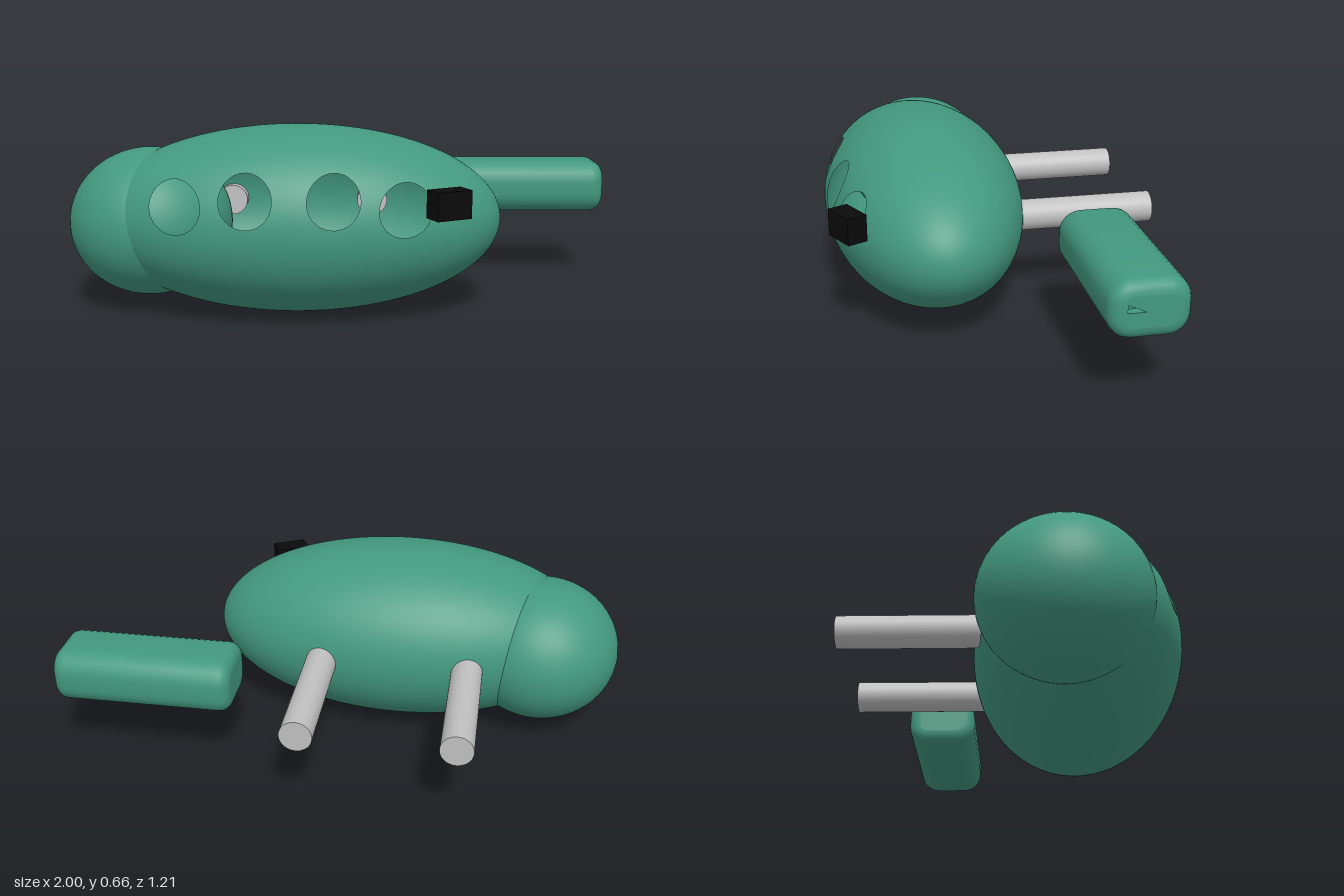
import * as THREE from 'three';
import { toCreasedNormals } from 'three/addons/utils/BufferGeometryUtils.js';

const green = new THREE.MeshStandardMaterial({ color: 0x43997f, side: THREE.DoubleSide });
green.name = 'green shell';
const grey = new THREE.MeshStandardMaterial({ color: 0xc0c0c0 });
grey.name = 'grey rod';
const black = new THREE.MeshStandardMaterial({ color: 0x0a0a0a });
black.name = 'black';

function add(group, name, geometry, material, x, y, z) {
  const mesh = new THREE.Mesh(geometry, material);
  mesh.name = name;
  mesh.position.set(x, y, z);
  group.add(mesh);
  return mesh;
}

// Hollow ellipsoid with round openings cut through its front wall
function shellGeometry(rx, ry, rz, holes) {
  const geo = new THREE.SphereGeometry(1, 192, 112);
  geo.scale(rx, ry, rz);
  const pos = geo.attributes.position;
  const holeOf = (i) => (pos.getZ(i) <= 0 ? undefined
    : holes.find((h) => Math.hypot(pos.getX(i) - h.x, pos.getY(i) - h.y) < h.r));
  const inside = Array.from({ length: pos.count }, (_, i) => holeOf(i));
  const kept = [];
  const old = geo.index.array;
  for (let i = 0; i < old.length; i += 3) {
    const tri = [old[i], old[i + 1], old[i + 2]];
    if (!tri.every((v) => inside[v])) kept.push(...tri);
  }
  // Push rim vertices out onto the exact circle of their opening
  inside.forEach((h, i) => {
    if (!h) return;
    const a = Math.atan2(pos.getY(i) - h.y, pos.getX(i) - h.x);
    const x = h.x + h.r * Math.cos(a), y = h.y + h.r * Math.sin(a);
    pos.setXYZ(i, x, y, rz * Math.sqrt(1 - (x / rx) ** 2 - (y / ry) ** 2));
  });
  geo.setIndex(kept);
  // Exact ellipsoid normals
  const n = new THREE.Vector3();
  for (let i = 0; i < pos.count; i++) {
    n.set(pos.getX(i) / rx ** 2, pos.getY(i) / ry ** 2, pos.getZ(i) / rz ** 2).normalize();
    geo.attributes.normal.setXYZ(i, n.x, n.y, n.z);
  }
  return geo;
}

// Rounded rectangle in (z, y), counter-clockwise
function roundedPoints(hw, hh, r, steps = 6) {
  const pts = [];
  [[1, 1], [-1, 1], [-1, -1], [1, -1]].forEach(([sx, sy], q) => {
    for (let i = 0; i <= steps; i++) {
      const a = (q + i / steps) * Math.PI / 2;
      pts.push(new THREE.Vector2(sx * (hw - r) + r * Math.cos(a), sy * (hh - r) + r * Math.sin(a)));
    }
  });
  return pts;
}

// Pod: rounded bar along local z, lofted through inset rings
const POD = { half: 0.32, w: 0.132, h: 0.098, corner: 0.075, bevel: 0.045 };
function podSection(inset) {
  return roundedPoints(POD.w - inset, POD.h - inset, POD.corner - inset);
}
function podSides() {
  const rings = [];
  for (let i = 0; i <= 5; i++) {
    const a = (i / 5) * Math.PI / 2;
    rings.push([-POD.half + POD.bevel * (1 - Math.sin(a)), POD.bevel * (1 - Math.cos(a))]);
  }
  rings.reverse();
  const stations = [...rings.map(([z, inset]) => [z, inset]).reverse().map(([z, i]) => [z, i])];
  stations.sort((a, b) => a[0] - b[0]);
  const all = [...stations, ...stations.map(([z, i]) => [-z, i]).reverse()];
  const verts = [], index = [];
  let count = 0;
  all.forEach(([z, inset]) => {
    const pts = podSection(inset);
    count = pts.length;
    pts.forEach((p) => verts.push(p.x, p.y, z));
  });
  for (let k = 0; k < all.length - 1; k++) {
    for (let i = 0; i < count; i++) {
      const a = k * count + i, b = k * count + (i + 1) % count;
      index.push(a, b, b + count, a, b + count, a + count);
    }
  }
  const geo = new THREE.BufferGeometry();
  geo.setAttribute('position', new THREE.Float32BufferAttribute(verts, 3));
  geo.setIndex(index);
  return toCreasedNormals(geo, 0.7);
}

function createPod() {
  const pod = new THREE.Group();
  pod.name = 'pod';
  add(pod, 'podSides', podSides(), green, 0, 0, 0);
  const back = add(pod, 'podBackEnd', new THREE.ShapeGeometry(new THREE.Shape(podSection(POD.bevel))), green, 0, 0, -POD.half);
  back.rotation.y = Math.PI;

  // Slotted end
  const [sw, s0, s1, depth] = [0.078, 0, 0.048, 0.03];
  const face = new THREE.Shape(podSection(POD.bevel));
  face.holes.push(new THREE.Path([[-sw, s0], [-sw, s1], [sw, s1], [sw, s0]].map(([x, y]) => new THREE.Vector2(x, y))));
  face.holes[0].getPoints().forEach((p) => p.y = Math.min(p.y, s1));
  add(pod, 'podSlottedEnd', new THREE.ShapeGeometry(face), green, 0, 0, POD.half);
  const mid = (s0 + s1) / 2;
  add(pod, 'slotFloor', new THREE.PlaneGeometry(2 * sw, s1 - s0), green, 0, mid, POD.half - depth);
  for (const s of [-1, 1]) {
    const wall = add(pod, 'slotSide', new THREE.PlaneGeometry(depth, s1 - s0), green, s * sw, mid, POD.half - depth / 2);
    wall.rotation.y = -s * Math.PI / 2;
    const edge = add(pod, 'slotEdge', new THREE.PlaneGeometry(2 * sw, depth), green, 0, mid + s * (s1 - s0) / 2, POD.half - depth / 2);
    edge.rotation.x = s * Math.PI / 2;
  }
  pod.rotation.y = Math.PI / 2;
  pod.position.set(0.68, 0.363, -0.316);
  return pod;
}

export function createModel() {
  const model = new THREE.Group();
  model.name = 'model';

  // Main hollow body with four front openings
  const c = new THREE.Vector3(-0.18, 0.334, 0.215);
  const holes = [[-0.572, 0.423], [-0.335, 0.45], [-0.045, 0.45], [0.192, 0.415]]
    .map(([x, y]) => ({ x: x - c.x, y: y - c.y, r: 0.088 }));
  add(model, 'body', shellGeometry(0.72, 0.332, 0.37, holes), green, c.x, c.y, c.z);

  // Rounded end bulb
  const bulb = new THREE.SphereGeometry(1, 64, 48);
  bulb.scale(0.29, 0.266, 0.29);
  add(model, 'endBulb', bulb, green, -0.71, 0.31, 0.16);

  // Rear rods
  for (const x of [-0.445, 0.09]) {
    const rod = add(model, 'rearRod', new THREE.CylinderGeometry(0.057, 0.057, 0.52, 40), grey, x, 0.336, -0.35);
    rod.rotation.x = Math.PI / 2;
  }

  // Small front block
  const block = add(model, 'frontBlock', new THREE.BoxGeometry(0.128, 0.095, 0.074), black, 0.332, 0.442, 0.534);
  block.rotation.y = 0.46;

  model.add(createPod());
  return model;
}
